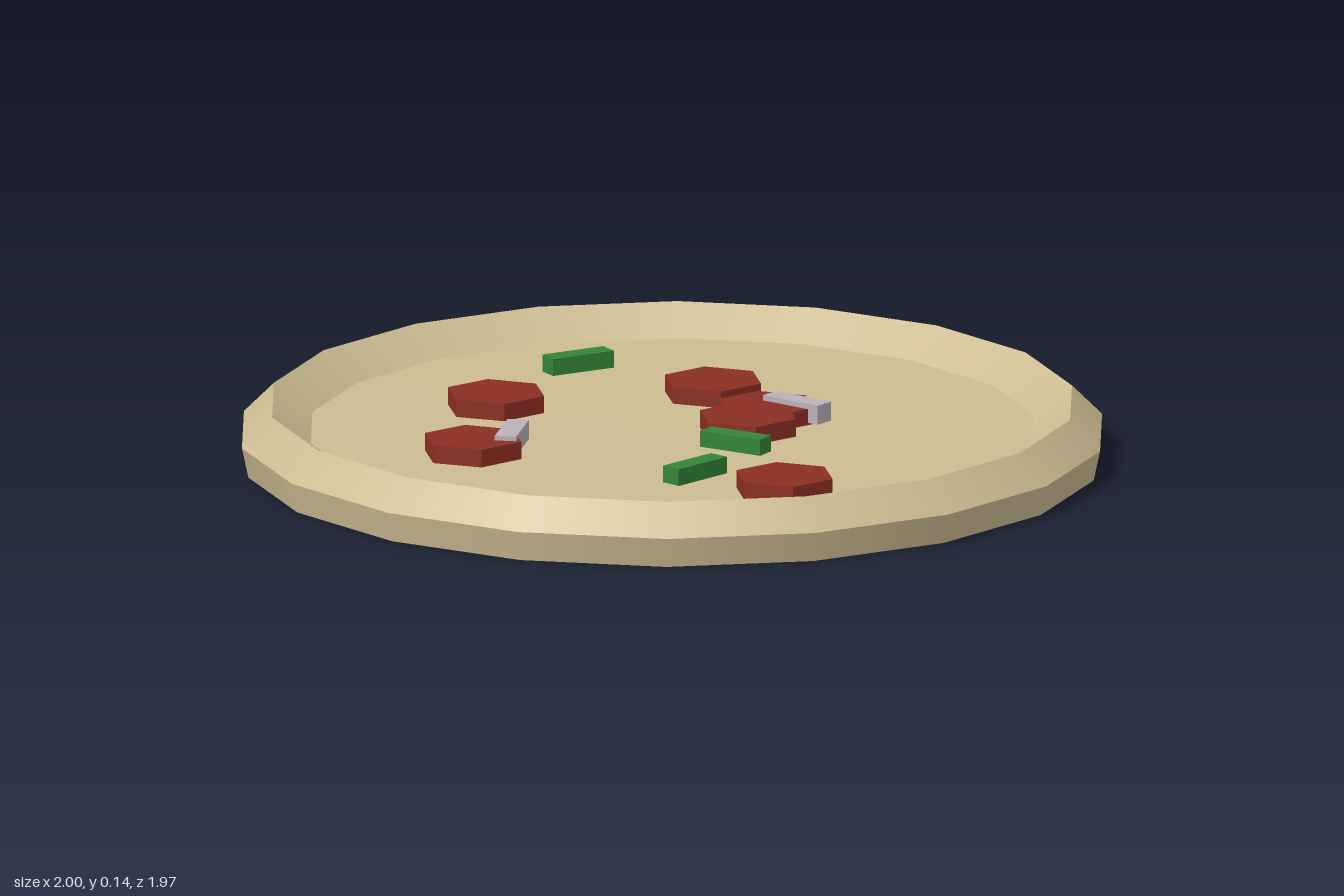
import * as THREE from 'three';
import { mergeGeometries } from 'three/addons/utils/BufferGeometryUtils.js';

const SIDES = 18;

function material(name, color) {
  const m = new THREE.MeshStandardMaterial({ color });
  m.name = name;
  return m;
}

// Each profile segment is its own lathe: smooth around, sharp along the rings
function creasedLathe(profile) {
  const bands = [];
  for (let i = 0; i < profile.length - 1; i++) {
    const pair = [profile[i], profile[i + 1]].map(([r, y]) => new THREE.Vector2(r, y));
    bands.push(new THREE.LatheGeometry(pair, SIDES, Math.PI / 2));
  }
  return mergeGeometries(bands);
}

export function createModel() {
  const group = new THREE.Group();
  const dough = material('dough', 0xcdbc92);
  const red = material('sausage red', 0x8b2e23);
  const green = material('pepper green', 0x348539);
  const grey = material('mushroom grey', 0xbab1b8);

  const add = (name, geometry, mat, x = 0, y = 0, z = 0, turn = 0) => {
    const mesh = new THREE.Mesh(geometry, mat);
    mesh.name = name;
    mesh.position.set(x, y, z);
    mesh.rotation.y = THREE.MathUtils.degToRad(turn);
    group.add(mesh);
  };

  // Underside, outer wall, bevelled rim and inner slope
  add('crust', creasedLathe([[0, 0], [0.985, 0], [1, 0.07], [0.93, 0.14], [0.84, 0.075]]), dough);

  // Flat surface inside the rim
  add('base', creasedLathe([[0.84, 0.075], [0, 0.08]]), dough);

  // Hexagonal sausage slices: x, z, centre height
  const slice = new THREE.CylinderGeometry(0.118, 0.118, 0.044, 6).toNonIndexed();
  slice.computeVertexNormals();
  [
    [-0.37, -0.24, 0.096], [0.14, -0.275, 0.096], [-0.49, 0.17, 0.096],
    [0.225, -0.04, 0.094], [0.165, 0.07, 0.098], [0.16, 0.625, 0.096],
  ].forEach(([x, z, y], i) => add(`sausageSlice${i + 1}`, slice, red, x, y, z));

  // Small strips: x, z, turn in degrees
  const strip = new THREE.BoxGeometry(0.16, 0.045, 0.05);
  [[-0.125, -0.572, 20], [0.112, 0.22, -40], [-0.022, 0.463, 37]]
    .forEach(([x, z, turn], i) => add(`pepperStrip${i + 1}`, strip, green, x, 0.094, z, turn));
  [[0.295, -0.027, -48], [-0.395, 0.138, 70]]
    .forEach(([x, z, turn], i) => add(`mushroomStrip${i + 1}`, strip, grey, x, 0.106, z, turn));

  return group;
}
